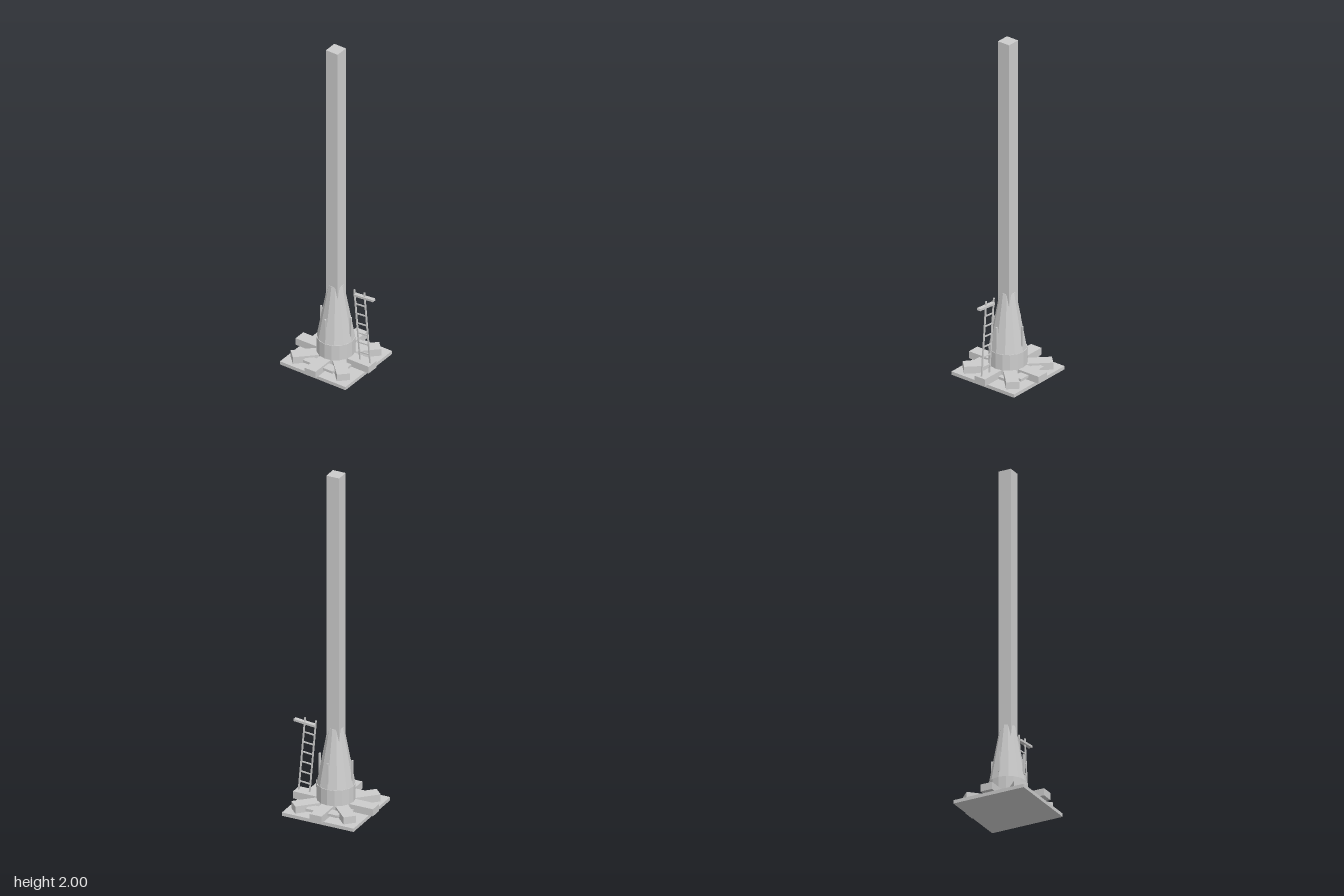
import * as THREE from 'three';

const mat = new THREE.MeshStandardMaterial({ color: 0xcccccc, flatShading: true });

function add(parent, name, geometry, x = 0, y = 0, z = 0) {
  const mesh = new THREE.Mesh(geometry, mat);
  mesh.name = name;
  mesh.position.set(x, y, z);
  parent.add(mesh);
  return mesh;
}

const box = (w, h, d) => new THREE.BoxGeometry(w, h, d);

export function createModel() {
  const model = new THREE.Group();
  model.name = 'pillarOnBase';

  // Everything but the ladder is centred on the pole axis
  const tower = new THREE.Group();
  tower.name = 'tower';
  tower.position.x = -0.006;
  model.add(tower);

  // Base plate, inner slab and the planks in front and behind
  add(tower, 'basePlate', box(0.432, 0.02, 0.432), 0, 0.01, 0);
  add(tower, 'innerSlab', box(0.254, 0.015, 0.248), 0, 0.0275, 0);
  for (const s of [-1, 1]) add(tower, 'basePlank', box(0.194, 0.015, 0.055), 0, 0.0425, s * 0.1425);

  // Eight beams radiating from the centre
  for (let i = 0; i < 8; i++) {
    const a = (i * Math.PI) / 4;
    const beam = add(tower, 'radialBeam', box(0.211, 0.042, 0.071),
      Math.cos(a) * 0.1355, 0.041, -Math.sin(a) * 0.1355);
    beam.rotation.y = a;
  }

  // Drum, tapering cone and the square pole whose corners break through it
  add(tower, 'drum', new THREE.CylinderGeometry(0.106, 0.106, 0.135, 16), 0, 0.0875, 0);
  add(tower, 'cone', new THREE.CylinderGeometry(0.043, 0.104, 0.335, 12), 0, 0.3225, 0);
  add(tower, 'pole', box(0.077, 1.7, 0.077), 0, 1.15, 0);

  // Four slim posts standing against the cone
  for (let i = 0; i < 4; i++) {
    const a = (i * Math.PI) / 2;
    add(tower, 'post', box(0.01, 0.12, 0.01), Math.cos(a) * 0.098, 0.248, Math.sin(a) * 0.098);
  }

  // Ladder leaning towards the pole, with a plank across its top
  const ladder = new THREE.Group();
  ladder.name = 'ladder';
  ladder.position.set(0.186, 0.06, 0);
  ladder.rotation.z = 0.087;
  model.add(ladder);
  for (const s of [-1, 1]) add(ladder, 'ladderRail', box(0.008, 0.44, 0.007), s * 0.033, 0.22, 0);
  for (let i = 0; i < 7; i++) add(ladder, 'ladderRung', box(0.066, 0.007, 0.006), 0, 0.052 + i * 0.06, 0);
  add(ladder, 'ladderPlank', box(0.127, 0.013, 0.023), 0.031, 0.41, 0);

  return model;
}
